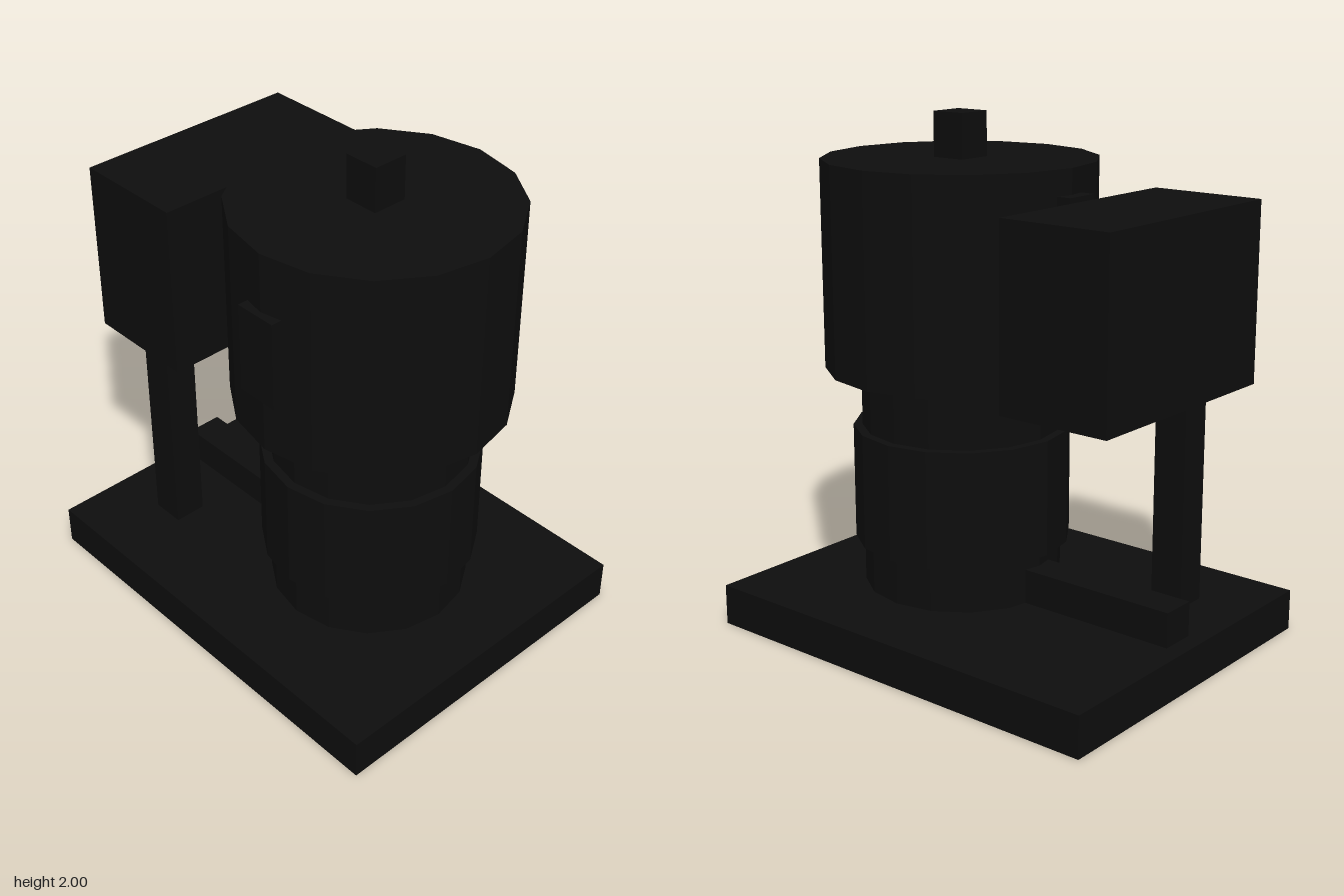
import * as THREE from 'three';

export function createModel() {
  const model = new THREE.Group();
  const black = new THREE.MeshStandardMaterial({ color: 0x0d0d0d, flatShading: true });
  black.name = 'black';

  const add = (name, geometry, x, y, z) => {
    const mesh = new THREE.Mesh(geometry, black);
    mesh.name = name;
    mesh.position.set(x, y, z);
    model.add(mesh);
  };
  // box given by its limits on each axis
  const box = (name, [x0, x1], [y0, y1], [z0, z1]) =>
    add(name, new THREE.BoxGeometry(x1 - x0, y1 - y0, z1 - z0),
      (x0 + x1) / 2, (y0 + y1) / 2, (z0 + z1) / 2);
  // upright faceted drum on the main axis
  const axisX = 0.225;
  const drum = (name, radius, y0, y1) =>
    add(name, new THREE.CylinderGeometry(radius, radius, y1 - y0, 16),
      axisX, (y0 + y1) / 2, 0);

  // base slab
  box('base', [-0.87, 0.87], [0, 0.16], [-0.685, 0.685]);

  // central column, sleeve and upper drum
  drum('column', 0.388, 0.16, 1.03);
  drum('sleeve', 0.423, 0.345, 0.8);
  drum('upperDrum', 0.525, 1.03, 1.83);
  box('topStem', [axisX - 0.07, axisX + 0.07], [1.83, 2], [-0.07, 0.07]);
  box('frontPlate', [0.14, 0.31], [1.26, 1.605], [0.47, 0.55]);

  // side cabinet on its post, with links to the column and drum
  box('cabinet', [-0.8, -0.345], [1.03, 1.715], [-0.46, 0.46]);
  box('post', [-0.64, -0.505], [0.16, 1.03], [0.26, 0.39]);
  box('floorDuct', [-0.8, -0.1], [0.16, 0.295], [-0.07, 0.07]);
  box('upperLink', [-0.345, -0.2], [1.605, 1.735], [-0.07, 0.07]);

  return model;
}
